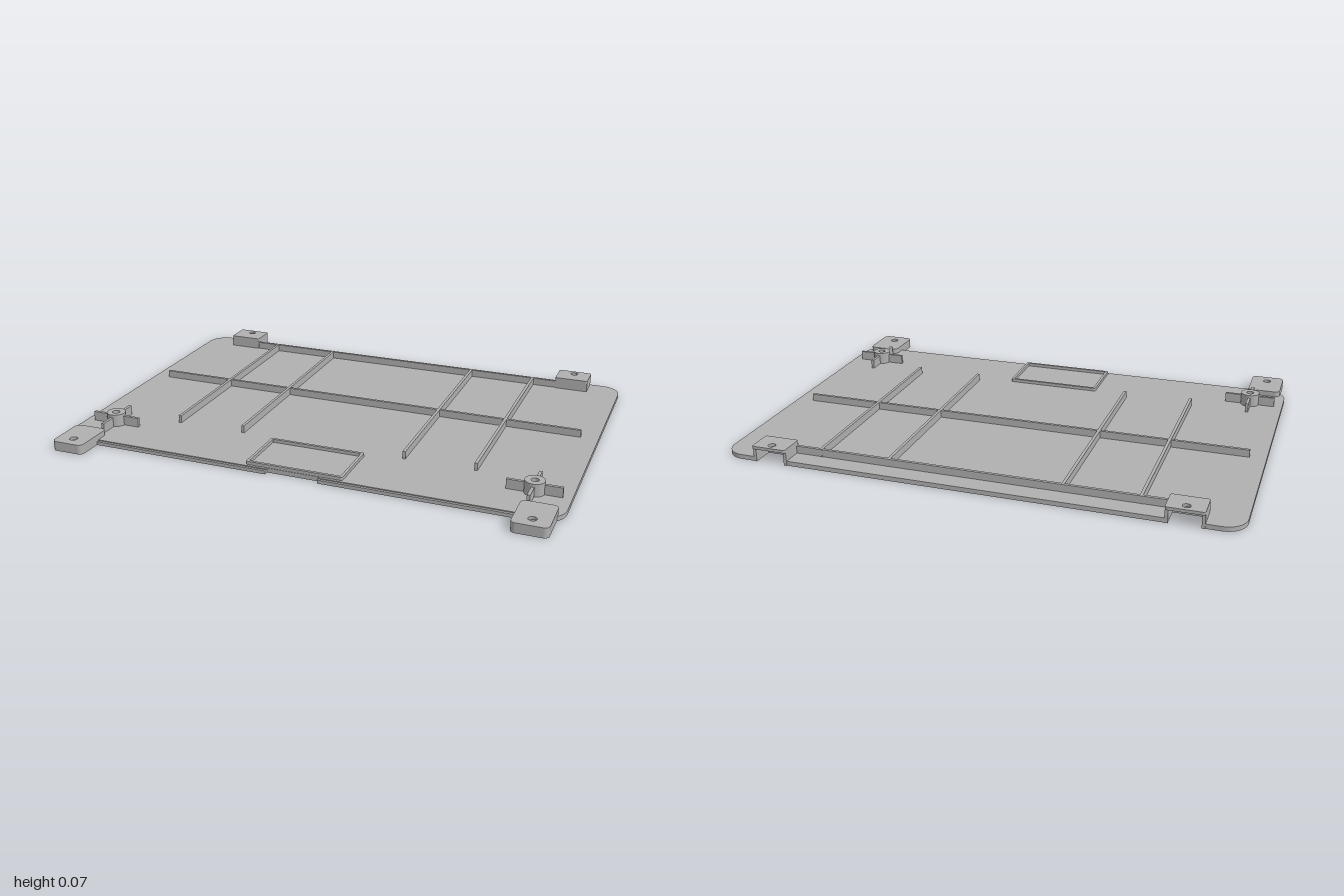
import * as THREE from 'three';

const grey = new THREE.MeshStandardMaterial({ color: 0xb0b0b0 });
grey.name = 'grey plastic';

// Extrude a plan shape (x, z) between two heights
function slab(name, shape, y0, y1) {
  const geo = new THREE.ExtrudeGeometry(shape, { depth: y1 - y0, bevelEnabled: false, curveSegments: 10 });
  geo.rotateX(Math.PI / 2).translate(0, y1, 0);
  const mesh = new THREE.Mesh(geo, grey);
  mesh.name = name;
  return mesh;
}

// Box from plan limits and heights
function block(name, x0, x1, z0, z1, y0, y1) {
  const mesh = new THREE.Mesh(new THREE.BoxGeometry(x1 - x0, y1 - y0, z1 - z0), grey);
  mesh.position.set((x0 + x1) / 2, (y0 + y1) / 2, (z0 + z1) / 2);
  mesh.name = name;
  return mesh;
}

function roundedRect(path, x0, x1, z0, z1, r) {
  path.moveTo(x0 + r, z0);
  path.lineTo(x1 - r, z0);
  path.absarc(x1 - r, z0 + r, r, -Math.PI / 2, 0);
  path.lineTo(x1, z1 - r);
  path.absarc(x1 - r, z1 - r, r, 0, Math.PI / 2);
  path.lineTo(x0 + r, z1);
  path.absarc(x0 + r, z1 - r, r, Math.PI / 2, Math.PI);
  path.lineTo(x0, z0 + r);
  path.absarc(x0 + r, z0 + r, r, Math.PI, Math.PI * 1.5);
  return path;
}

function drill(shape, x, z, r) {
  shape.holes.push(new THREE.Path().absarc(x, z, r, 0, Math.PI * 2, true));
  return shape;
}

const TOP = 0.018;

// Cover outline with notches beneath the rear tabs and a front latch recess
function coverShape() {
  const s = new THREE.Shape(), r = 0.08, back = -0.71, front = 0.6;
  s.moveTo(-1 + r, back);
  for (const [a, b] of [[-0.853, -0.737], [0.737, 0.853]]) {
    s.lineTo(a, back);
    s.lineTo(a, -0.627);
    s.lineTo(b, -0.627);
    s.lineTo(b, back);
  }
  s.lineTo(1 - r, back);
  s.absarc(1 - r, back + r, r, -Math.PI / 2, 0);
  s.lineTo(1, front - r);
  s.absarc(1 - r, front - r, r, 0, Math.PI / 2);
  s.lineTo(0.1, front);
  s.lineTo(0.1, 0.592);
  s.lineTo(-0.11, 0.592);
  s.lineTo(-0.11, front);
  s.lineTo(-1 + r, front);
  s.absarc(-1 + r, front - r, r, Math.PI / 2, Math.PI);
  s.lineTo(-1, back + r);
  s.absarc(-1 + r, back + r, r, Math.PI, Math.PI * 1.5);
  return s;
}

// Hollow rear tab, open below and behind
function rearTab(cx) {
  const g = new THREE.Group();
  g.name = 'rearTab';
  const x0 = cx - 0.07, x1 = cx + 0.07, z0 = -0.72, z1 = -0.615, t = 0.012;
  const lid = drill(roundedRect(new THREE.Shape(), x0, x1, z0, z1, 0.008), cx, -0.69, 0.015);
  g.add(slab('rearTabLid', lid, 0.054, 0.066));
  g.add(block('rearTabSide', x0, x0 + t, z0 + 0.008, z1, 0, 0.054));
  g.add(block('rearTabSide', x1 - t, x1, z0 + 0.008, z1, 0, 0.054));
  g.add(block('rearTabInnerWall', x0 + t, x1 - t, z1 - t, z1, 0, 0.054));
  return g;
}

// Hollow front foot with a rounded rim and a screw hole
function frontTab(cx) {
  const g = new THREE.Group();
  g.name = 'frontTab';
  const x0 = cx - 0.067, x1 = cx + 0.067, z0 = 0.54, z1 = 0.715, t = 0.014;
  const lid = drill(roundedRect(new THREE.Shape(), x0, x1, z0, z1, 0.02), cx, 0.665, 0.016);
  g.add(slab('frontTabLid', lid, 0.028, 0.04));
  const rim = roundedRect(new THREE.Shape(), x0, x1, z0, z1, 0.02);
  rim.holes.push(roundedRect(new THREE.Path(), x0 + t, x1 - t, z0 + t, z1 - t, 0.01));
  g.add(slab('frontTabRim', rim, 0.001, 0.028));
  return g;
}

// Screw boss braced by four arms
function boss(cx, cz) {
  const g = new THREE.Group();
  g.name = 'screwBoss';
  const ring = drill(new THREE.Shape().absarc(cx, cz, 0.038, 0, Math.PI * 2), cx, cz, 0.015);
  g.add(slab('bossRing', ring, TOP, 0.068));
  for (const d of [-1, 1]) {
    const a = 0.036 * d, b = 0.103 * d, lo = Math.min(a, b), hi = Math.max(a, b);
    g.add(block('bossArm', cx + lo, cx + hi, cz - 0.006, cz + 0.006, TOP, 0.056));
    g.add(block('bossArm', cx - 0.006, cx + 0.006, cz + lo, cz + hi, TOP, 0.056));
  }
  return g;
}

export function createModel() {
  const model = new THREE.Group();
  model.name = 'coverPanel';
  model.add(slab('coverPlate', coverShape(), 0, TOP));

  // Lip along the front edge on both sides of the latch recess
  model.add(block('frontLip', -0.92, -0.11, 0.6, 0.61, 0, 0.014));
  model.add(block('frontLip', 0.1, 0.92, 0.6, 0.61, 0, 0.014));

  // Stiffening ribs
  const h = 0.048, w = 0.006;
  for (const x of [-0.625, -0.34, 0.34, 0.622])
    model.add(block('lengthRib', x - w, x + w, -0.632, 0.33, TOP, h));
  model.add(block('crossRib', -0.935, 0.93, -0.12 - w, -0.12 + w, TOP, h - 0.0005));
  model.add(block('rearRib', -0.725, 0.725, -0.625 - w, -0.625 + w, TOP, h - 0.0005));

  // Low rectangular frame by the latch recess
  const frame = new THREE.Shape();
  roundedRect(frame, -0.198, 0.192, 0.36, 0.59, 0.006);
  frame.holes.push(roundedRect(new THREE.Path(), -0.187, 0.181, 0.371, 0.579, 0.003));
  model.add(slab('latchFrame', frame, TOP, 0.031));

  for (const side of [-1, 1]) {
    model.add(rearTab(side * 0.795));
    model.add(frontTab(side * 0.908));
    model.add(boss(side * 0.863, 0.428));
  }
  return model;
}
